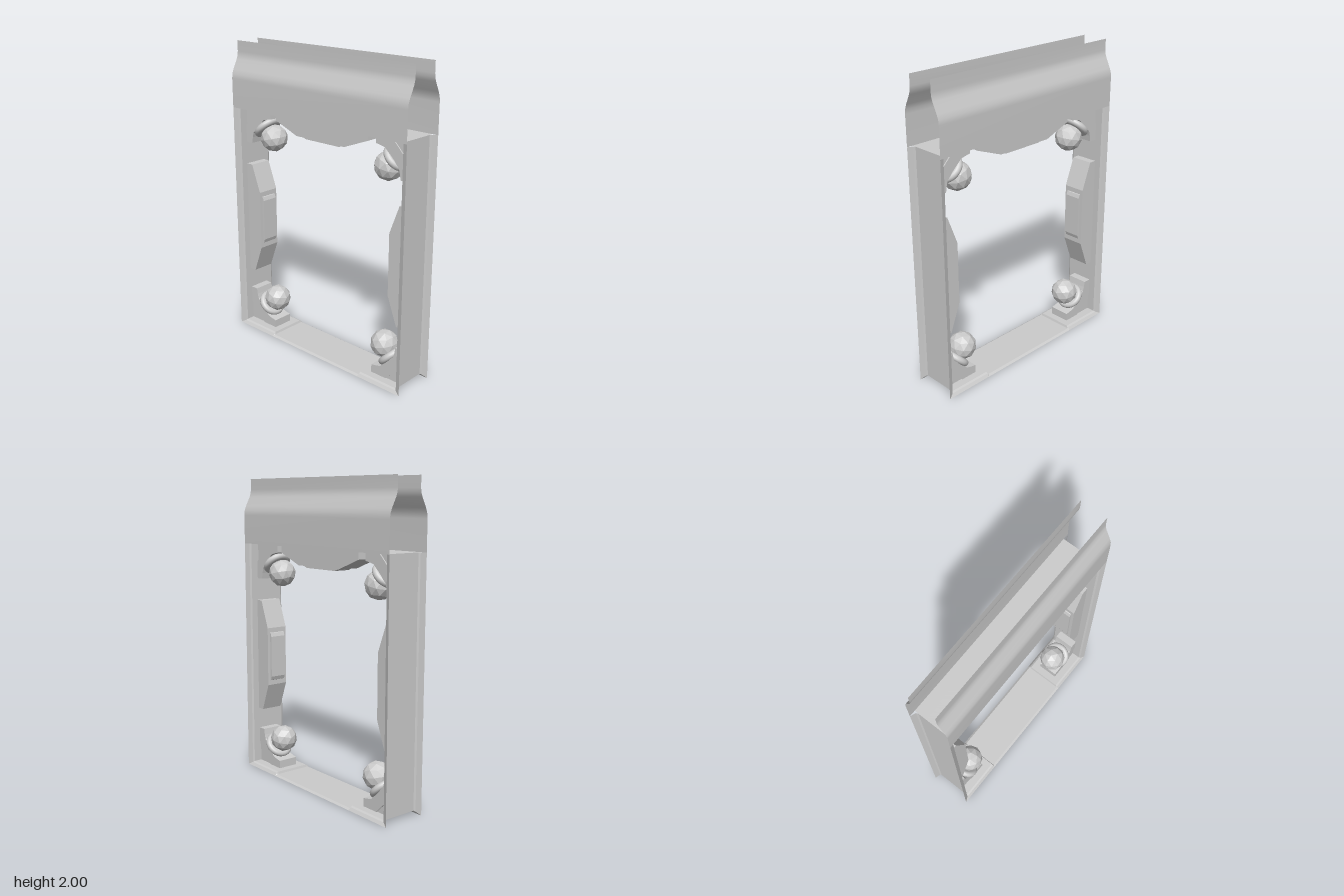
import * as THREE from 'three';

const X = 0.68, TOP = 1.57, FLOOR = 0.025, MID = 0.795;

const smooth = new THREE.MeshStandardMaterial({ color: 0xcccccc, side: THREE.DoubleSide });
const flat = new THREE.MeshStandardMaterial({ color: 0xcccccc, side: THREE.DoubleSide, flatShading: true });

function add(parent, name, geometry, material = flat) {
  const mesh = new THREE.Mesh(geometry, material);
  mesh.name = name;
  parent.add(mesh);
  return mesh;
}

// Skin over rows of points that all have the same length
function loft(rows) {
  const n = rows[0].length, index = [];
  for (let i = 0; i < rows.length - 1; i++) {
    for (let j = 0; j < n - 1; j++) {
      const a = i * n + j, b = a + n;
      index.push(a, b, a + 1, a + 1, b, b + 1);
    }
  }
  const g = new THREE.BufferGeometry();
  g.setAttribute('position', new THREE.Float32BufferAttribute(rows.flat(2), 3));
  g.setIndex(index);
  g.computeVertexNormals();
  return g;
}

// Outline extruded evenly to both sides of z = 0
function prism(points, depth) {
  const shape = new THREE.Shape(points.map(p => new THREE.Vector2(...p)));
  return new THREE.ExtrudeGeometry(shape, { depth, bevelEnabled: false }).translate(0, 0, -depth / 2);
}

// Three-sided channel whose edges flare outwards
function frame(parent) {
  const section = [[-0.144, 0.72, 0], [-0.13, 0.686, 0.018], [-0.118, X, FLOOR],
    [0.118, X, FLOOR], [0.13, 0.686, 0.018], [0.144, 0.72, 0]];
  const rows = section.map(([z, x, y]) => {
    const mid = Math.min(y, 0.01);
    return [[-x, TOP, z], [-x, y, z], [-0.39, y, z], [-0.385, mid, z],
      [0.385, mid, z], [0.39, y, z], [x, y, z], [x, TOP, z]];
  });
  add(parent, 'channelFrame', loft(rows));
  add(parent, 'topWall', loft([-0.144, 0.144].map(z => [[X, TOP, z], [-X, TOP, z]])));
}

// Sheet rising above the frame, stepping inwards near its top
function fascia(parent, side) {
  const profile = [[1.57, 0.144], [1.76, 0.144], [1.79, 0.141], [1.82, 0.13],
    [1.88, 0.1], [1.905, 0.091], [1.93, 0.088], [2, 0.088]];
  const rows = profile.map(([y, z]) => [[-0.72 * side, y, z * side], [0.72 * side, y, z * side]]);
  add(parent, side > 0 ? 'frontFascia' : 'backFascia', loft(rows.reverse()), smooth);
}

// Tapered pad with a small raised panel; local y points into the opening
function pad(parent, name, x, y, angle) {
  const g = new THREE.Group();
  g.name = name;
  add(g, 'padBody', prism([[-0.385, 0], [0.385, 0], [0.385, 0.05],
    [0.2, 0.12], [-0.2, 0.12], [-0.385, 0.05]], 0.15));
  add(g, 'padPanel', prism([[-0.17, 0.115], [0.17, 0.115], [0.165, 0.125],
    [0.14, 0.134], [-0.14, 0.134], [-0.165, 0.125]], 0.11));
  g.position.set(x, y, 0);
  g.rotation.z = angle;
  parent.add(g);
}

// Corner bracket carrying a rounded collar and a faceted ball
function corner(parent, name, x, y, angle) {
  const g = new THREE.Group();
  g.name = name;
  add(g, 'bracketArms', prism([[0.125, 0], [0.24, 0], [0.24, 0.053], [0.2, 0.06], [0.17, 0.068],
    [0.068, 0.17], [0.06, 0.2], [0.053, 0.24], [0, 0.24], [0, 0.125]], 0.14));
  add(g, 'bracketGusset', prism([[0, 0], [0.127, 0], [0, 0.127]], 0.125));
  const mount = new THREE.Group();
  mount.name = 'ballMount';
  mount.position.set(0.133, 0.133, 0);
  mount.rotation.z = -Math.PI / 4;
  const rim = [[0, -0.022], [0.073, -0.022]];
  for (let i = 1; i < 6; i++) {
    const t = -Math.PI / 2 + i * Math.PI / 6;
    rim.push([0.073 + 0.022 * Math.cos(t), 0.022 * Math.sin(t)]);
  }
  rim.push([0.073, 0.022], [0, 0.022]);
  add(mount, 'collar', new THREE.LatheGeometry(rim.map(p => new THREE.Vector2(...p)), 24), smooth);
  add(mount, 'ball', new THREE.IcosahedronGeometry(0.091, 1)).position.y = 0.086;
  g.add(mount);
  g.position.set(x, y, 0);
  g.rotation.z = angle;
  parent.add(g);
}

export function createModel() {
  const model = new THREE.Group();
  model.name = 'frameUnit';
  const q = Math.PI / 2;
  frame(model);
  fascia(model, 1);
  fascia(model, -1);
  pad(model, 'rightPad', -X, MID, -q);
  pad(model, 'leftPad', X, MID, q);
  pad(model, 'topPad', 0, TOP, 2 * q);
  corner(model, 'lowerRightCorner', -X, FLOOR, 0);
  corner(model, 'lowerLeftCorner', X, FLOOR, q);
  corner(model, 'upperLeftCorner', X, TOP, 2 * q);
  corner(model, 'upperRightCorner', -X, TOP, 3 * q);
  return model;
}
